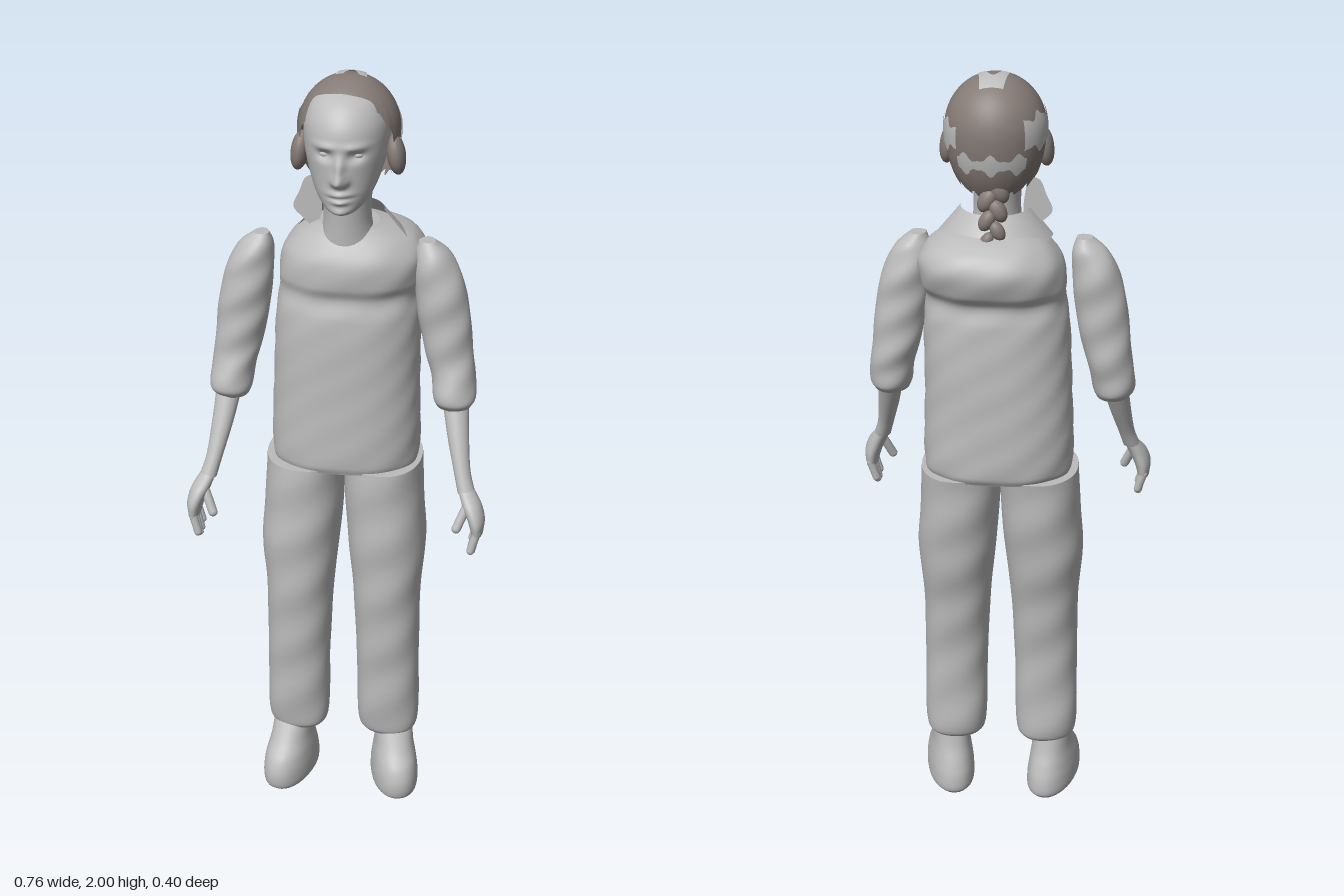
import * as THREE from 'three';

const grey = new THREE.MeshStandardMaterial({ color: 0xbcbcbc, side: THREE.DoubleSide });
grey.name = 'plain grey';
const brown = new THREE.MeshStandardMaterial({ color: 0x857b76, side: THREE.DoubleSide });
brown.name = 'hair brown';

// Closed or open skin over horizontal rings; sections are [y, xMin, xMax, zMin, zMax], from low to high.
function loft(sections, { rings = 32, sides = 36, power = 2, capped = true, shape } = {}) {
  const curves = [1, 2, 3, 4].map((k) => new THREE.CatmullRomCurve3(
    sections.map((s) => new THREE.Vector3(s[0], s[k], 0)), false, 'centripetal'));
  const pos = [], idx = [];
  const addRing = (t) => {
    const c = curves.map((curve) => curve.getPoint(t));
    for (let j = 0; j < sides; j++) {
      const a = (j / sides) * Math.PI * 2, ca = Math.cos(a), sa = Math.sin(a);
      const u = Math.sign(ca) * Math.abs(ca) ** (2 / power);
      const w = Math.sign(sa) * Math.abs(sa) ** (2 / power);
      const p = new THREE.Vector3(
        (c[0].y + c[1].y + u * (c[1].y - c[0].y)) / 2, c[0].x,
        (c[2].y + c[3].y + w * (c[3].y - c[2].y)) / 2);
      if (shape) shape(p, a);
      pos.push(p.x, p.y, p.z);
    }
  };
  for (let i = 0; i <= rings; i++) addRing(i / rings);
  for (let i = 0; i < rings; i++) for (let j = 0; j < sides; j++) {
    const a = i * sides + j, b = i * sides + (j + 1) % sides;
    idx.push(a, a + sides, b, b, a + sides, b + sides);
  }
  if (capped) for (const t of [0, 1]) {
    const start = pos.length / 3;
    addRing(t);
    const s = sections[t ? sections.length - 1 : 0];
    pos.push((s[1] + s[2]) / 2, s[0], (s[3] + s[4]) / 2);
    for (let j = 0; j < sides; j++) {
      const a = start + j, b = start + (j + 1) % sides;
      idx.push(start + sides, t ? b : a, t ? a : b);
    }
  }
  const g = new THREE.BufferGeometry();
  g.setAttribute('position', new THREE.Float32BufferAttribute(pos, 3));
  g.setIndex(idx);
  g.computeVertexNormals();
  return g;
}

const bump = (x, y, cx, cy, sx, sy) => Math.exp(-(((x - cx) / sx) ** 2) - ((y - cy) / sy) ** 2);

// Mirrors section x ranges for the model's right side
const sided = (s, rows) => rows.map(([y, a, b, c, d]) => (s > 0 ? [y, a, b, c, d] : [y, -b, -a, c, d]));

// Rounded finger between two points
function finger(from, to, r) {
  const a = new THREE.Vector3(...from), b = new THREE.Vector3(...to), d = b.clone().sub(a);
  const g = new THREE.CapsuleGeometry(r, d.length(), 4, 10);
  g.applyQuaternion(new THREE.Quaternion().setFromUnitVectors(new THREE.Vector3(0, 1, 0), d.normalize()));
  return g.translate(...a.add(b).multiplyScalar(0.5).toArray());
}

// Point on the hair shell at angle a (0 = model's left, PI/2 = front) and height y
const HX = 0.013, HY = 1.87, HZ = -0.012;
function hairPoint(a, y, grow = 0) {
  const k = Math.sqrt(Math.max(0, 1 - ((y - HY) / (y > HY ? 0.13 : 0.2)) ** 2));
  return [HX + Math.cos(a) * (0.123 * k + grow), y + (y > HY ? grow * (y - HY) / 0.13 : 0),
    HZ + Math.sin(a) * (0.126 * k + grow)];
}

// Skin over a grid of points given by f(u, v)
function grid(nu, nv, f) {
  const pos = [], idx = [];
  for (let i = 0; i <= nv; i++) for (let j = 0; j <= nu; j++) pos.push(...f(j / nu, i / nv));
  for (let i = 0; i < nv; i++) for (let j = 0; j < nu; j++) {
    const a = i * (nu + 1) + j, b = a + nu + 1;
    idx.push(a, a + 1, b, b, a + 1, b + 1);
  }
  const g = new THREE.BufferGeometry();
  g.setAttribute('position', new THREE.Float32BufferAttribute(pos, 3));
  g.setIndex(idx);
  g.computeVertexNormals();
  return g;
}

export function createModel() {
  const model = new THREE.Group();
  const add = (name, geometry, material = grey) => {
    const m = new THREE.Mesh(geometry, material);
    m.name = name;
    model.add(m);
    return m;
  };

  // Padded top with a rolled yoke
  add('torso', loft([
    [0.98, -0.18, 0.187, -0.165, 0.095], [1.0, -0.184, 0.19, -0.175, 0.102], [1.2, -0.182, 0.19, -0.176, 0.102],
    [1.4, -0.17, 0.187, -0.17, 0.1], [1.455, -0.162, 0.182, -0.162, 0.088], [1.49, -0.165, 0.195, -0.185, 0.1],
    [1.55, -0.155, 0.2, -0.2, 0.1], [1.59, -0.125, 0.175, -0.18, 0.08], [1.615, -0.09, 0.13, -0.14, 0.06],
    [1.63, -0.06, 0.085, -0.09, 0.05],
  ], { rings: 70, sides: 56, power: 2.25, shape: (p, a) => {
    const k = 1 + 0.012 * Math.sin(p.y * 41 + 3 * a) * Math.sin(5 * a + p.y * 23);
    p.x *= k; p.z *= k;
  } }));

  // Stand-up collar round the back of the neck
  const collar = new THREE.CylinderGeometry(0.085, 0.142, 0.07, 32, 1, true, Math.PI / 2, Math.PI);
  add('collar', collar.translate(0.015, 1.632, 0));
  add('neck', loft([[1.58, -0.06, 0.085, -0.075, 0.075], [1.65, -0.047, 0.07, -0.06, 0.08],
    [1.75, -0.05, 0.073, -0.065, 0.09]]));

  // Head with sculpted face
  add('head', loft([
    [1.695, -0.015, 0.035, 0.06, 0.12], [1.705, -0.033, 0.053, 0.01, 0.135], [1.735, -0.058, 0.078, -0.04, 0.138],
    [1.79, -0.08, 0.1, -0.1, 0.14], [1.85, -0.092, 0.112, -0.125, 0.142], [1.91, -0.092, 0.112, -0.128, 0.132],
    [1.955, -0.073, 0.093, -0.105, 0.098], [1.985, -0.03, 0.05, -0.05, 0.04],
  ], { rings: 90, sides: 110, shape: (p) => {
    if (p.z < 0.03) return;
    const x = p.x - 0.01, y = p.y;
    p.z += 0.036 * bump(x, y, 0, 1.79, 0.015, 0.016) + 0.02 * bump(x, y, 0, 1.818, 0.011, 0.024)
      + 0.011 * bump(x, y, 0, 1.752, 0.026, 0.008) + 0.011 * bump(x, y, 0, 1.734, 0.021, 0.008)
      + 0.008 * bump(x, y, 0, 1.705, 0.025, 0.014) - 0.006 * bump(x, y, 0, 1.743, 0.026, 0.004);
    for (const s of [-1, 1]) {
      p.z += 0.007 * bump(x, y, s * 0.038, 1.868, 0.028, 0.009) + 0.008 * bump(x, y, s * 0.014, 1.784, 0.008, 0.008)
        - 0.015 * bump(x, y, s * 0.037, 1.845, 0.019, 0.012);
    }
  } }));
  for (const s of [-1, 1]) {
    const eye = add('eye', new THREE.SphereGeometry(0.014, 20, 14).scale(1.15, 0.65, 0.7));
    eye.position.set(0.01 + s * 0.037, 1.845, 0.112);
    const ear = add('ear', new THREE.SphereGeometry(0.03, 16, 12).scale(0.4, 1.1, 0.7));
    ear.position.set(0.012 + s * 0.106, 1.815, -0.005);
  }

  // Hair shell with a jagged hairline round the face
  add('hair', grid(96, 28, (u, v) => {
    const a = u * Math.PI * 2, front = Math.sin(a);
    const t = THREE.MathUtils.smoothstep(front, 0.05, 0.75);
    const jag = 0.006 * Math.sin(a * 17) + 0.005 * Math.sin(a * 29);
    const low = THREE.MathUtils.lerp(1.765 + 0.05 * Math.min(0, front), 1.935, t) + jag;
    const top = HY + 0.13;
    return hairPoint(a, top - (top - low) * (1 - Math.cos(v * Math.PI / 2)));
  }), brown);
  for (const s of [-1, 1]) {
    const lock = add('sideLock', new THREE.SphereGeometry(0.05, 18, 14).scale(0.45, 1, 0.7), brown);
    lock.position.set(0.013 + s * 0.116, 1.815, 0.015);
    lock.rotation.z = s * 0.15;
  }

  // Bare patches on the hair: [centre angle, half width, low, high]
  for (const [mid, half, low, high] of [[-2.75, 0.5, 1.84, 1.915], [-0.4, 0.42, 1.835, 1.895], [-1.57, 0.75, 1.79, 1.825]]) {
    add('hairPatch', grid(24, 10, (u, v) => {
      const a = mid + (u * 2 - 1) * half, edge = 0.009 * Math.sin(a * 11) + 0.004 * Math.sin(a * 23);
      return hairPoint(a, THREE.MathUtils.lerp(high + edge, low - edge, v), 0.003);
    }));
  }
  add('crownPatch', grid(20, 12, (u, v) => {
    const x = 0.017 + (u - 0.5) * 0.075 * (1 - 0.25 * v), z = -0.005 - v * 0.075;
    const notch = v < 0.4 ? 0.03 * Math.max(0, 1 - ((u - 0.5) / 0.25) ** 2) * (1 - v / 0.4) : 0;
    const q = 1 - ((x - HX) / 0.123) ** 2 - ((z - notch - HZ) / 0.126) ** 2;
    return [x, HY + 0.13 * Math.sqrt(q) + 0.004, z - notch];
  }));

  // Braid: two strands of knots tapering down the nape
  for (let i = 0; i < 6; i++) {
    const s = i % 2 ? 1 : -1, r = 0.031 - i * 0.002;
    const knot = add('braidKnot', new THREE.SphereGeometry(r, 16, 12).scale(0.75, 1.15, 0.75), brown);
    knot.position.set(0.012 + s * 0.013, 1.735 - i * 0.024, -0.088 - i * 0.006);
    knot.rotation.z = s * 0.5;
  }

  // Loose flap beside the neck
  const flap = new THREE.Shape();
  flap.moveTo(-0.07, 1.6);
  flap.splineThru([[-0.1, 1.63], [-0.125, 1.66], [-0.11, 1.7], [-0.095, 1.735], [-0.07, 1.74], [-0.058, 1.7],
    [-0.055, 1.65], [-0.07, 1.6]].map((p) => new THREE.Vector2(...p)));
  add('looseFlap', new THREE.ShapeGeometry(flap).translate(0, 0, -0.01));

  for (const s of [1, -1]) {
    const side = s > 0 ? 'left' : 'right';

    // Sleeve with a turned cuff
    add(side + 'Sleeve', loft(sided(s, [
      [1.165, 0.238, 0.325, -0.03, 0.07], [1.185, 0.23, 0.336, -0.05, 0.085], [1.24, 0.222, 0.333, -0.06, 0.068],
      [1.3, 0.205, 0.325, -0.064, 0.058], [1.4, 0.185, 0.315, -0.064, 0.057], [1.5, 0.175, 0.293, -0.065, 0.055],
      [1.56, 0.175, 0.262, -0.053, 0.04], [1.592, 0.185, 0.225, -0.025, 0.02],
    ]), { rings: 44, shape: (p, a) => { p.z += 0.003 * Math.sin(p.y * 60 + 2 * a); } }));

    // Forearm and palm
    add(side + 'Forearm', loft(sided(s, [
      [0.975, 0.306, 0.35, 0.105, 0.155], [1.02, 0.294, 0.336, 0.085, 0.135],
      [1.1, 0.272, 0.326, 0.04, 0.1], [1.2, 0.25, 0.318, -0.015, 0.055],
    ])));
    add(side + 'Palm', loft(sided(s, [
      [0.88, 0.345, 0.375, 0.115, 0.195], [0.915, 0.335, 0.378, 0.11, 0.198],
      [0.95, 0.32, 0.368, 0.108, 0.185], [0.985, 0.306, 0.346, 0.104, 0.15],
    ])));
    for (let i = 0; i < 4; i++) {
      const z = 0.124 + i * 0.02, tip = [0.845, 0.832, 0.83, 0.84][i];
      add(side + 'Finger', finger([s * 0.361, 0.89, z], [s * 0.347, tip, z + 0.004], 0.0105));
    }
    add(side + 'Thumb', finger([s * 0.33, 0.945, 0.16], [s * 0.309, 0.895, 0.178], 0.012));

    // Trouser leg
    add(side + 'TrouserLeg', loft(sided(s, [
      [0.165, 0.055, 0.185, -0.062, 0.05], [0.18, 0.045, 0.198, -0.073, 0.06], [0.4, 0.037, 0.202, -0.083, 0.08],
      [0.6, 0.027, 0.203, -0.11, 0.096], [0.75, 0.012, 0.214, -0.14, 0.103], [0.85, 0.004, 0.207, -0.153, 0.103],
      [0.985, -0.002, 0.2, -0.165, 0.1],
    ]), { rings: 50, power: 2.2, shape: (p, a) => { p.z += 0.0025 * Math.sin(p.y * 38 + 2 * a); } }));

    // Shoe, toes turned slightly out
    const shoe = add(side + 'Shoe', loft([
      [0, -0.05, 0.05, -0.09, 0.115], [0.012, -0.06, 0.06, -0.1, 0.128], [0.05, -0.062, 0.062, -0.1, 0.133],
      [0.09, -0.058, 0.058, -0.088, 0.12], [0.13, -0.052, 0.052, -0.072, 0.085], [0.19, -0.05, 0.05, -0.058, 0.045],
    ], { power: 2.2 }));
    shoe.position.x = s * 0.138;
    shoe.rotation.y = s * 0.25;
  }
  return model;
}
